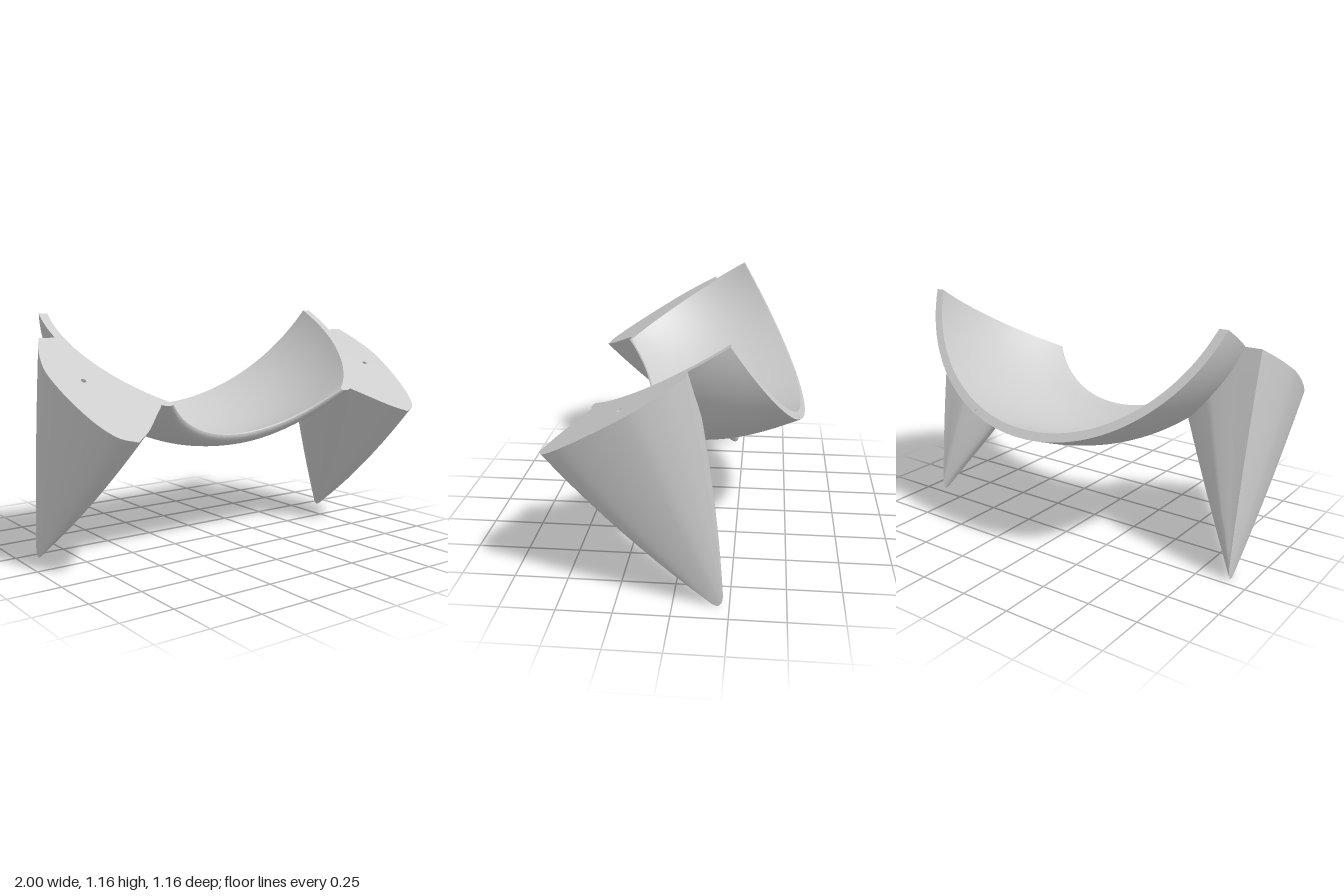
import * as THREE from 'three';
import { toCreasedNormals } from 'three/addons/utils/BufferGeometryUtils.js';

// Local frame: x sideways, u forward along the tilted top plane, v down from that plane.
const SIN = 0.525, COS = 0.851, TOP_Y = 1.16, BACK_Z = -0.234;
const WALL = 0.043, LIP = 0.03, HOLE = 0.012;
const LEG_HOLE = [0.855, 0.53];

const toLocal = (x, y, z) => {
  const dy = y - TOP_Y, dz = z - BACK_Z;
  return [x, dz * COS - dy * SIN, -dz * SIN - dy * COS];
};

// Circular cross-section of the bowl at station u, offset outward from its inner face
function bowlArc(u, off) {
  const X = 0.805 + 0.15 * u - 0.7 * u * u + off;   // half width at the top plane
  const V = 0.611 - 0.17 * u - 0.62 * u ** 3 + off; // depth
  const R = (X * X + V * V) / (2 * V);
  return { X, R, c: R - V, half: Math.asin(X / R) };
}

function buildGeometry(points, index, crease) {
  const g = new THREE.BufferGeometry();
  g.setAttribute('position', new THREE.Float32BufferAttribute(points.flat(), 3));
  g.setIndex(index);
  return toCreasedNormals(g, crease);
}

const curve = (pts, n) =>
  new THREE.CatmullRomCurve3(pts.map(([a, b]) => new THREE.Vector3(a, b, 0))).getPoints(n);

// Closed wall: outer face, thickened rounded front lip, inner face, flat back rim
function bowlGeometry() {
  const profile = [], N = 28, M = 80;
  const mid = (WALL - LIP) / 2, half = (WALL + LIP) / 2;
  for (let i = 0; i < N; i++) profile.push([i / N, WALL, 0]);
  for (let i = 0; i <= 8; i++) {
    const a = (i / 8) * Math.PI;
    profile.push([1, mid + half * Math.cos(a), 0.022 * Math.sin(a)]);
  }
  for (let i = N - 1; i >= 0; i--) profile.push([i / N, -LIP * (i / N) ** 8, 0]);

  const P = profile.length, points = [], index = [];
  for (let j = 0; j <= M; j++) {
    const s = (j / M) * 2 - 1;
    for (const [t, off, du] of profile) {
      const u = t * (0.675 + 0.05 * s * s) + du;
      const { R, c, half: h } = bowlArc(u, off);
      points.push([R * Math.sin(s * h), u, R * Math.cos(s * h) - c]);
    }
  }
  for (let j = 0; j < M; j++) {
    for (let i = 0; i < P; i++) {
      const k = (i + 1) % P;
      const a = j * P + i, b = (j + 1) * P + i, d = j * P + k, e = (j + 1) * P + k;
      index.push(a, b, d, b, e, d);
    }
  }
  // End caps flush with the top plane
  for (let i = 0; i < (P - 1) / 2; i++) {
    const k = P - 1 - i, o = M * P;
    index.push(i, i + 1, k, i + 1, k - 1, k);
    index.push(o + i, o + k, o + i + 1, o + i + 1, o + k, o + k - 1);
  }
  return buildGeometry(points, index, 0.6);
}

// Tapered leg: flat top, slightly bowed sides running to a thin rounded tip
function legGeometry() {
  const outer = curve([
    [0.93, 0.2], [0.97, 0.3], [0.998, 0.43], [0.995, 0.53],
    [0.965, 0.7], [0.92, 0.84], [0.87, 0.92], [0.8, 0.956],
  ], 48);
  const front = curve([[0.8, 0.956], [0.72, 0.895], [0.64, 0.81], [0.575, 0.74]], 12).slice(1);
  const edge = [...outer, ...front].map((p) => [p.x, p.y, 0]);

  // Seam buried in the bowl wall, from the front corner round to the back corner
  const seam = [
    ...curve([[0.69, 0.08], [0.6, 0.2], [0.52, 0.275], [0.42, 0.285], [0.34, 0.26], [0.287, 0.22]], 20),
    ...curve([[0.287, 0.22], [0.256, 0.148], [0.228, 0.075], [0.2, 0]], 8).slice(1),
  ].map(({ x: u, y: v }) => {
    const { R, c } = bowlArc(u, 0.022);
    return [Math.sqrt(R * R - (v + c) ** 2), u, v];
  });

  const loop = [...edge, ...seam], n = loop.length, RINGS = 10;
  const tip = new THREE.QuadraticBezierCurve(
    new THREE.Vector2(-0.222, 0.055), new THREE.Vector2(-0.22, -0.04), new THREE.Vector2(-0.15, 0.028));
  const points = [], index = [];
  for (let r = 0; r <= RINGS; r++) {
    const t = r / RINGS, bow = 4 * t * (1 - t);
    for (const [x, u, v] of loop) {
      const w = THREE.MathUtils.clamp((u - 0.2 - 0.42 * v) / 0.756, 0, 1);
      const p = tip.getPoint(w);
      const [tx, tu, tv] = toLocal(0.905, p.y, p.x);
      points.push([
        x + (tx - x) * t,
        u + (tu - u) * t + bow * (0.034 * w - 0.01),
        v + (tv - v) * t + bow * 0.007,
      ]);
    }
  }
  for (let r = 0; r < RINGS; r++) {
    for (let i = 0; i < n; i++) {
      const a = r * n + i, b = r * n + (i + 1) % n;
      index.push(a, b, b + n, a, b + n, a + n);
    }
  }

  // Flat top with a pin hole, bounded on the inside by the bowl wall
  const top = edge.map(([x, u]) => new THREE.Vector2(x, u));
  for (let i = 0; i <= 16; i++) {
    const u = 0.68 - 0.03 * i;
    top.push(new THREE.Vector2(bowlArc(u, 0.022).X, u));
  }
  const hole = new THREE.Path().absarc(...LEG_HOLE, HOLE, 0, Math.PI * 2, true).getPoints(10).slice(1);
  const all = [...top, ...hole], base = points.length;
  points.push(...all.map((p) => [p.x, p.y, 0]));
  for (const [a, b, c] of THREE.ShapeUtils.triangulateShape(top, [hole])) {
    const ccw = all[b].clone().sub(all[a]).cross(all[c].clone().sub(all[a])) > 0;
    index.push(base + a, base + (ccw ? c : b), base + (ccw ? b : c));
  }
  return buildGeometry(points, index, 0.6);
}

export function createModel() {
  const grey = new THREE.MeshStandardMaterial({ color: 0xcccccc, side: THREE.DoubleSide });
  grey.name = 'light grey';

  const model = new THREE.Group();
  model.name = 'cradleStand';
  const tilted = new THREE.Group();
  tilted.name = 'tiltedBody';
  const basis = new THREE.Matrix4().makeBasis(
    new THREE.Vector3(1, 0, 0), new THREE.Vector3(0, -SIN, COS), new THREE.Vector3(0, -COS, -SIN));
  tilted.quaternion.setFromRotationMatrix(basis);
  tilted.position.set(0, TOP_Y, BACK_Z);
  model.add(tilted);

  const add = (name, geometry) => {
    const mesh = new THREE.Mesh(geometry, grey);
    mesh.name = name;
    tilted.add(mesh);
    return mesh;
  };

  add('bowl', bowlGeometry());
  const leg = legGeometry();
  // Blind pin hole: wall and floor, open at the top
  const bore = new THREE.LatheGeometry(
    [new THREE.Vector2(0, -0.05), new THREE.Vector2(HOLE, -0.05), new THREE.Vector2(HOLE, 0)], 20);
  const plug = new THREE.CylinderGeometry(HOLE, HOLE, 0.003, 20);
  for (const [side, s] of [['left', 1], ['right', -1]]) {
    add(side + 'Leg', leg).scale.x = s;
    const legHole = add(side + 'LegHole', bore);
    legHole.rotation.x = -Math.PI / 2;
    legHole.position.set(s * LEG_HOLE[0], LEG_HOLE[1], 0);
    // Pin mark in the back rim
    add(side + 'RimPin', plug).position.set(s * 0.325, 0, 0.566);
  }
  return model;
}
